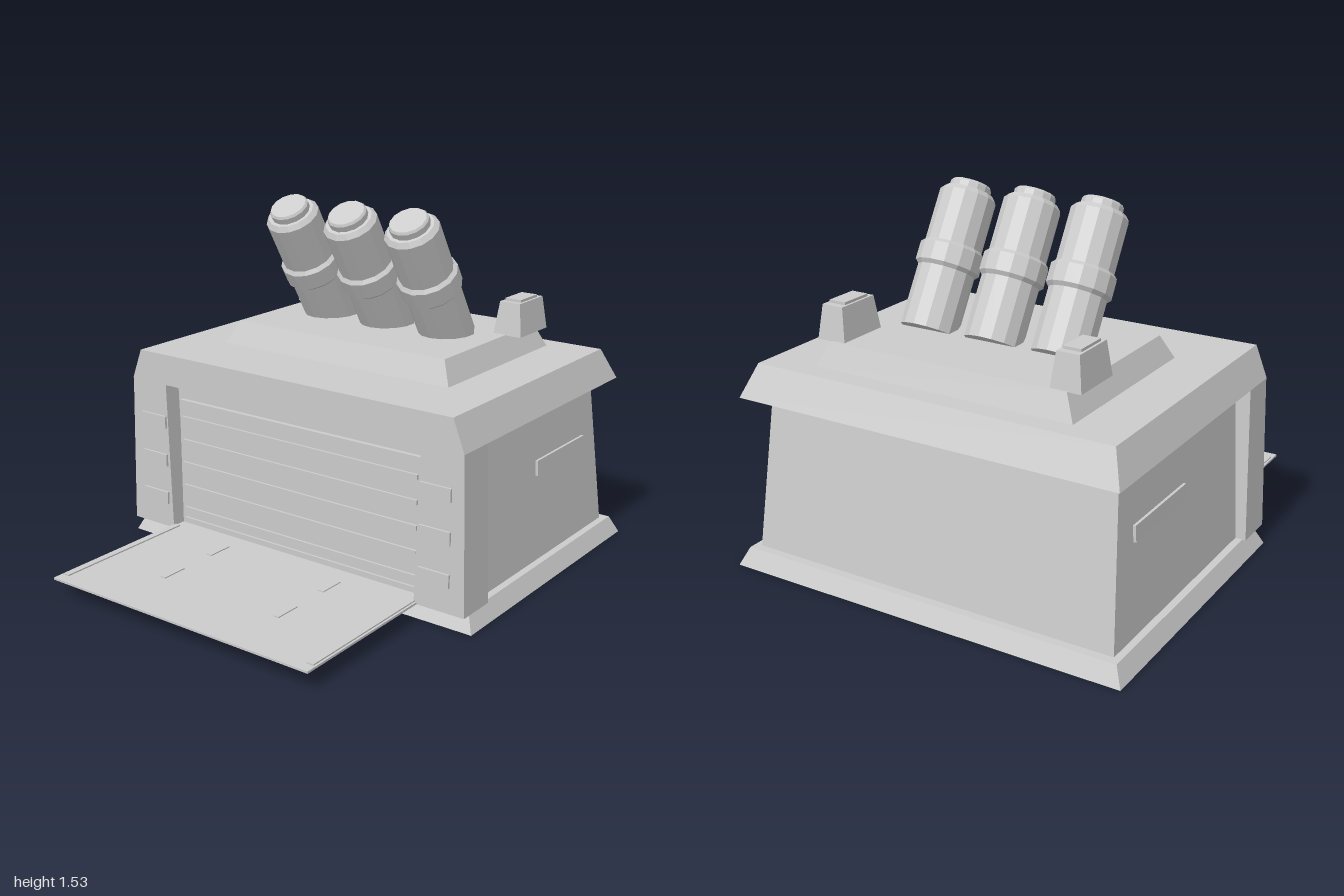
import * as THREE from 'three';

const material = new THREE.MeshStandardMaterial({ color: 0xcccccc, flatShading: true });

// Tapered box: bottom and top are [x0, x1, z0, z1] rectangles at heights y0 and y1
function taper(name, y0, y1, bottom, top = bottom) {
  const geometry = new THREE.BoxGeometry(1, 1, 1);
  const p = geometry.attributes.position;
  for (let i = 0; i < p.count; i++) {
    const r = p.getY(i) > 0 ? top : bottom;
    p.setXYZ(i, p.getX(i) > 0 ? r[1] : r[0], p.getY(i) > 0 ? y1 : y0, p.getZ(i) > 0 ? r[3] : r[2]);
  }
  geometry.computeVertexNormals();
  const mesh = new THREE.Mesh(geometry, material);
  mesh.name = name;
  return mesh;
}

function box(name, x, y, z, w, h, d) {
  const mesh = new THREE.Mesh(new THREE.BoxGeometry(w, h, d), material);
  mesh.name = name;
  mesh.position.set(x, y, z);
  return mesh;
}

// Launch tube: stepped profile turned round its own axis
function launchTube(x) {
  const profile = [
    [0, 0], [0.117, 0], [0.117, 0.25], [0.132, 0.265], [0.132, 0.34], [0.117, 0.355],
    [0.117, 0.57], [0.1, 0.59], [0.085, 0.59], [0.085, 0.615], [0.078, 0.625], [0, 0.625],
  ].map(([r, y]) => new THREE.Vector2(r, y));
  const mesh = new THREE.Mesh(new THREE.LatheGeometry(profile, 14), material);
  mesh.name = 'launchTube';
  mesh.position.set(x, 0.95, -0.435);
  mesh.rotation.x = THREE.MathUtils.degToRad(31.2);
  return mesh;
}

export function createModel() {
  const model = new THREE.Group();
  model.name = 'launcherBunker';

  // Main stacked volumes
  model.add(
    taper('plinth', 0, 0.075, [-0.885, 0.885, -1, 0.285], [-0.85, 0.85, -0.965, 0.25]),
    taper('walls', 0.07, 0.735, [-0.82, 0.82, -0.93, 0.23], [-0.78, 0.78, -0.84, 0.23]),
    taper('roof', 0.73, 0.865, [-0.847, 0.847, -0.96, 0.31], [-0.795, 0.795, -0.895, 0.31]),
    taper('roofPlatform', 0.86, 0.963, [-0.58, 0.58, -0.81, 0], [-0.53, 0.53, -0.768, -0.045]),
  );

  // Recessed shutter door with slats
  model.add(box('shutter', 0, 0.37, 0.235, 1.26, 0.57, 0.03));
  for (const y of [0.575, 0.47, 0.365, 0.26, 0.155, 0.105]) {
    model.add(box('shutterSlat', 0, y, 0.252, 1.22, 0.02, 0.016));
  }

  // Front pillars with lamps, side vents and ramp details on both sides
  for (const s of [-1, 1]) {
    const span = (a, b) => (s > 0 ? [a, b] : [-b, -a]);
    model.add(taper('frontPillar', 0.073, 0.732,
      [...span(0.635, 0.865), 0.13, 0.308], [...span(0.655, 0.846), 0.145, 0.308]));
    for (const y of [0.21, 0.385, 0.56]) {
      model.add(box('pillarLamp', s * 0.727, y, 0.31, 0.14, 0.055, 0.016));
    }

    const vent = box('sideVent', s * 0.797, 0.477, -0.55, 0.02, 0.065, 0.41);
    vent.rotation.z = s * 0.06;
    model.add(vent);

    model.add(box('rampRail', s * 0.626, 0.084, 0.625, 0.03, 0.008, 0.66));
    for (const z of [0.4, 0.68]) {
      model.add(box('rampCleat', s * 0.295, 0.083, z, 0.026, 0.008, 0.115));
    }

    // Roof sensor box with a small lid
    const c = s > 0 ? 0.535 : -0.517;
    model.add(
      taper('sensorBox', 0.96, 1.1,
        [c - 0.065, c + 0.065, -0.757, -0.528], [c - 0.048, c + 0.048, -0.74, -0.545]),
      box('sensorLid', c, 1.103, -0.64, 0.075, 0.016, 0.14),
    );
  }

  // Lowered ramp
  model.add(box('ramp', 0, 0.078, 0.62, 1.3, 0.009, 0.76));

  // Row of three tilted launch tubes
  for (const x of [-0.307, -0.003, 0.302]) model.add(launchTube(x));

  return model;
}
